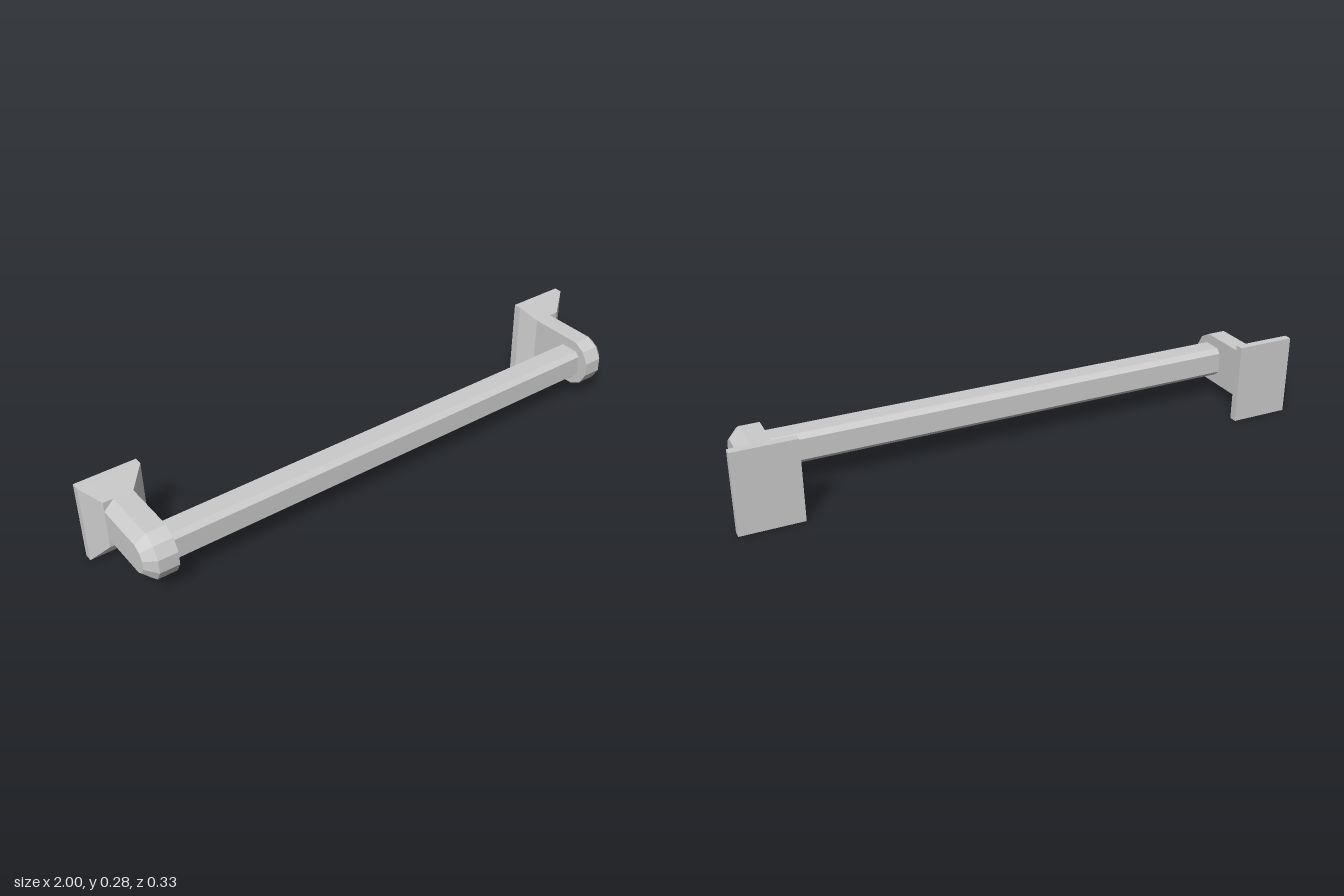
import * as THREE from 'three';

const MID_Y = 0.141;
const material = new THREE.MeshStandardMaterial({ color: 0xcccccc, flatShading: true });

// Skins convex rings of [x, y, z] points, counter-clockwise seen from the last ring's end, with capped ends.
function loft(name, rings) {
  const pos = [];
  const tri = (a, b, c) => pos.push(...a, ...b, ...c);
  const n = rings[0].length;
  for (let r = 0; r < rings.length - 1; r++) {
    const p = rings[r], q = rings[r + 1];
    for (let i = 0; i < n; i++) {
      const j = (i + 1) % n;
      tri(p[i], p[j], q[j]);
      tri(p[i], q[j], q[i]);
    }
  }
  const first = rings[0], last = rings[rings.length - 1];
  for (let i = 1; i < n - 1; i++) {
    tri(first[0], first[i + 1], first[i]);
    tri(last[0], last[i], last[i + 1]);
  }
  const geometry = new THREE.BufferGeometry();
  geometry.setAttribute('position', new THREE.Float32BufferAttribute(pos, 3));
  geometry.computeVertexNormals();
  const mesh = new THREE.Mesh(geometry, material);
  mesh.name = name;
  return mesh;
}

// Rectangle ring across z
const rect = (x0, x1, h, z) => [[x0, -h, z], [x1, -h, z], [x1, h, z], [x0, h, z]];

// Round-nosed ring across x, from [y, z] points of its upper half
const nose = (x, half) => [
  ...half.map(([y, z]) => [x, y, z]),
  ...half.slice().reverse().map(([y, z]) => [x, -y, z]),
];

function createBracket(name) {
  const bracket = new THREE.Group();
  bracket.name = name;

  // Square wall plate with a sloped front
  bracket.add(loft('wallPlate', [
    rect(0.79, 1, 0.141, -0.167),
    rect(0.79, 1, 0.141, -0.139),
    rect(0.843, 0.945, 0.087, -0.097),
  ]));

  // Arm with a faceted nose, bevelled on its outer side
  const outline = [[0.087, -0.1], [0.087, 0.104], [0.064, 0.144], [0.024, 0.167]];
  const bevelled = [[0.053, -0.1], [0.053, 0.095], [0.039, 0.119], [0.015, 0.133]];
  bracket.add(loft('arm', [nose(0.843, outline), nose(0.91, outline), nose(0.945, bevelled)]));
  return bracket;
}

export function createModel() {
  const model = new THREE.Group();
  model.name = 'towelRail';

  // The bracket is symmetric in height, so a half turn gives the other side
  const left = createBracket('leftBracket');
  const right = createBracket('rightBracket');
  right.rotation.z = Math.PI;
  left.position.y = right.position.y = MID_Y;

  // Square rail with bevelled edges
  const h = 0.052, w = 0.049, b = 0.016, cz = 0.077;
  const section = [
    [h, -w + b], [h, w - b], [h - b, w], [-h + b, w],
    [-h, w - b], [-h, -w + b], [-h + b, -w], [h - b, -w],
  ];
  const rail = loft('rail', [-0.845, 0.845].map((x) => section.map(([y, z]) => [x, y, z + cz])));
  rail.position.y = MID_Y;

  model.add(left, right, rail);
  return model;
}
